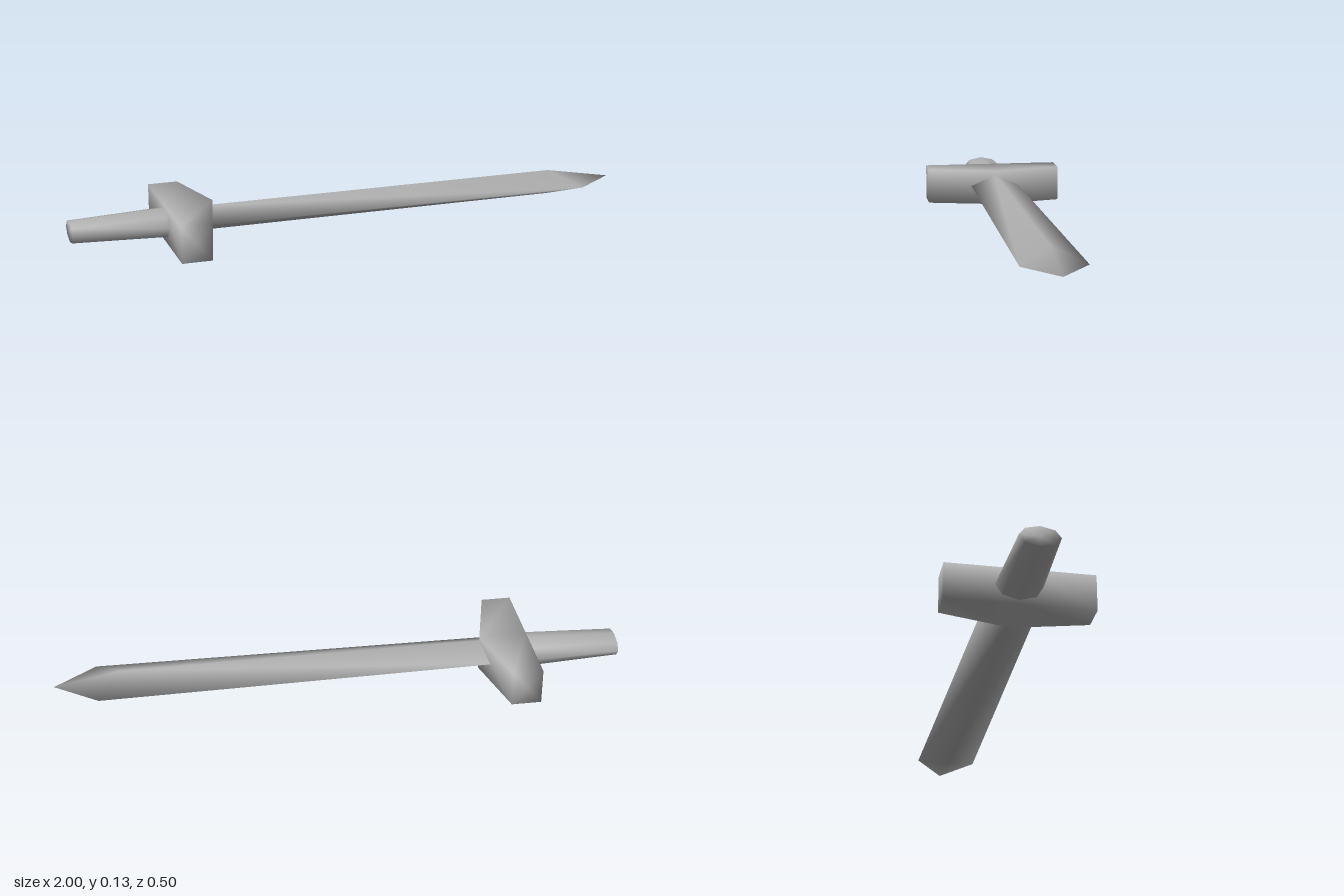
import * as THREE from 'three';

// Skin a list of matching point rings, closing both ends with a fan to a point.
// Shared corners give the soft, blended shading across edges.
function loft(rings, start, end) {
  const n = rings[0].length;
  const points = [...rings.flat(), start, end];
  const s = points.length - 2, e = points.length - 1, last = (rings.length - 1) * n;
  const index = [];
  for (let i = 0; i < n; i++) {
    const j = (i + 1) % n;
    for (let r = 0; r < last; r += n) {
      index.push(r + i, r + j, r + n + j, r + i, r + n + j, r + n + i);
    }
    index.push(s, j, i, e, last + i, last + j);
  }
  const geometry = new THREE.BufferGeometry();
  geometry.setAttribute('position', new THREE.Float32BufferAttribute(points.flat(), 3));
  geometry.setIndex(index);
  geometry.computeVertexNormals();
  return geometry;
}

export function createModel() {
  const model = new THREE.Group();
  model.name = 'sword';
  const steel = new THREE.MeshStandardMaterial({ color: 0xb2b2b2 });
  steel.name = 'grey steel';
  const midY = 0.068;

  const add = (name, geometry) => {
    const mesh = new THREE.Mesh(geometry, steel);
    mesh.name = name;
    model.add(mesh);
  };

  // Blade: diamond section, widening slightly, with ridges ending before the edges
  const diamond = (ridgeX, edgeX, halfY, halfZ) => [
    [ridgeX, midY + halfY, 0], [edgeX, midY, halfZ],
    [ridgeX, midY - halfY, 0], [edgeX, midY, -halfZ],
  ];
  add('blade', loft(
    [diamond(-0.6, -0.6, 0.044, 0.09), diamond(0.76, 0.85, 0.044, 0.109)],
    [-0.6, midY, 0], [1, midY, 0],
  ));

  // Crossguard: flat back, front tapering from a central peak
  const slab = (z, frontX) => [
    [-0.675, 0, z], [frontX, 0, z], [frontX, 0.128, z], [-0.675, 0.128, z],
  ];
  add('crossguard', loft(
    [slab(-0.25, -0.57), slab(0, -0.505), slab(0.25, -0.57)],
    [-0.622, 0.064, -0.25], [-0.622, 0.064, 0.25],
  ));

  // Grip: flattened octagon narrowing toward the end
  const octagon = (x, halfY, halfZ) => Array.from({ length: 8 }, (_, i) => {
    const a = (i * Math.PI) / 4;
    return [x, 0.065 + halfY * Math.cos(a), -0.005 + halfZ * Math.sin(a)];
  });
  add('grip', loft(
    [octagon(-1, 0.036, 0.067), octagon(-0.66, 0.051, 0.079)],
    [-1, 0.065, -0.005], [-0.66, 0.065, -0.005],
  ));

  return model;
}
